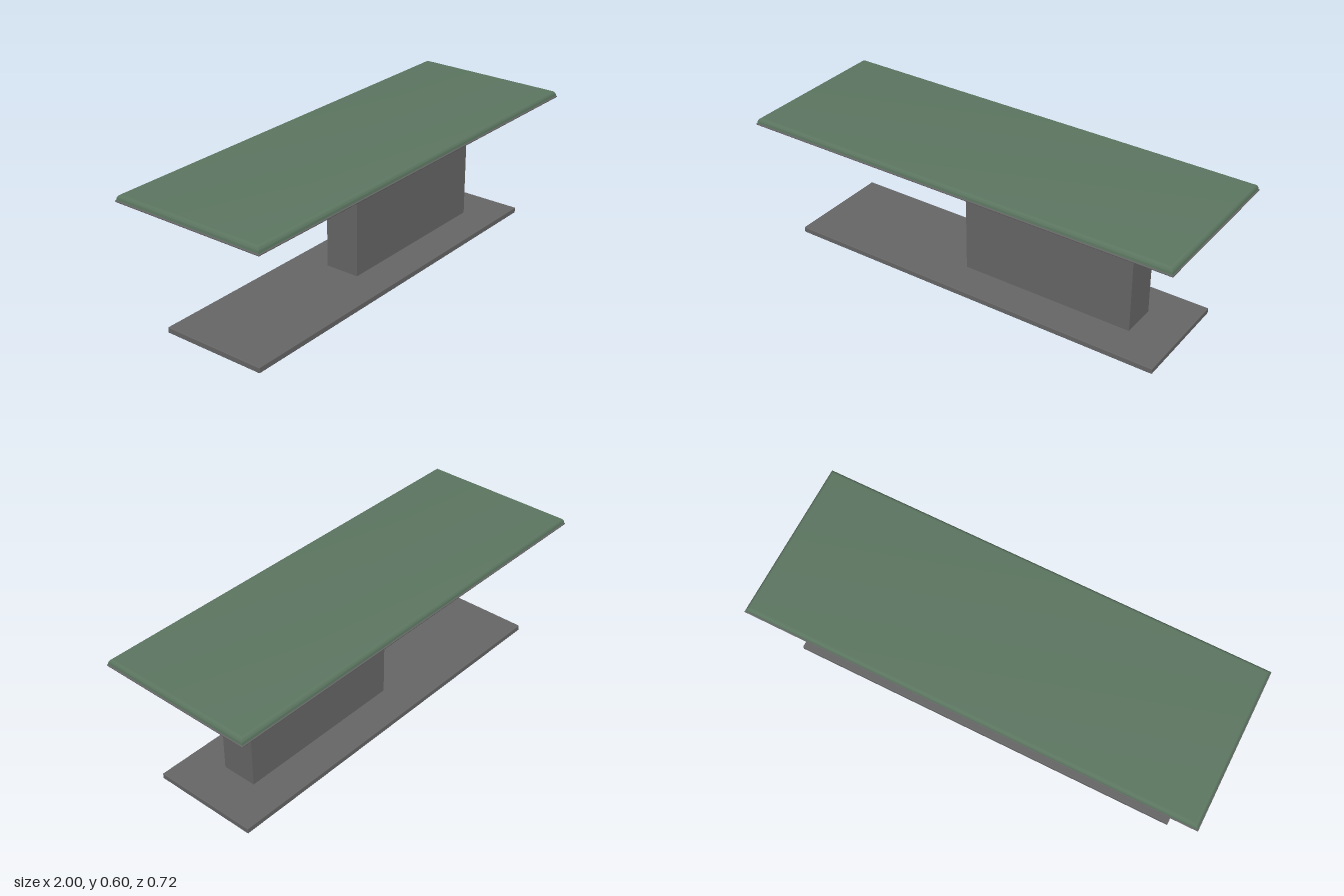
import * as THREE from 'three';
import { toCreasedNormals } from 'three/addons/utils/BufferGeometryUtils.js';
import { RoundedBoxGeometry } from 'three/addons/geometries/RoundedBoxGeometry.js';

const metal = new THREE.MeshStandardMaterial({ color: 0x666666 });
metal.name = 'grey metal';
const fabric = new THREE.MeshStandardMaterial({ color: 0x5b7560 });
fabric.name = 'green upholstery';

// Pad with a flat underside and a quarter-round edge along all four sides
function padGeometry(width, height, depth, inset) {
  const g = new THREE.BoxGeometry(width, height, depth, 1, 8, 1);
  const p = g.attributes.position;
  for (let i = 0; i < p.count; i++) {
    const a = (p.getY(i) / height + 0.5) * Math.PI / 2;
    const d = inset * (1 - Math.cos(a));
    p.setXYZ(i,
      p.getX(i) - Math.sign(p.getX(i)) * d,
      height * Math.sin(a),
      p.getZ(i) - Math.sign(p.getZ(i)) * d);
  }
  return toCreasedNormals(g, 0.6);
}

export function createModel() {
  const table = new THREE.Group();
  table.name = 'table';

  const add = (name, geometry, material, x, y) => {
    const mesh = new THREE.Mesh(geometry, material);
    mesh.name = name;
    mesh.position.set(x, y, 0);
    table.add(mesh);
  };

  // Floor plate with slightly eased edges
  add('basePlate', new RoundedBoxGeometry(1.78, 0.025, 0.48, 2, 0.003), metal, 0, 0.0125);
  // Offset pedestal
  add('column', new THREE.BoxGeometry(0.8, 0.545, 0.16), metal, 0.297, 0.2975);
  // Thin tray below the pad
  add('topTray', new RoundedBoxGeometry(2, 0.007, 0.72, 2, 0.003), metal, 0, 0.5725);
  // Padded top
  add('topPad', padGeometry(1.992, 0.024, 0.712, 0.018), fabric, 0, 0.576);

  return table;
}
